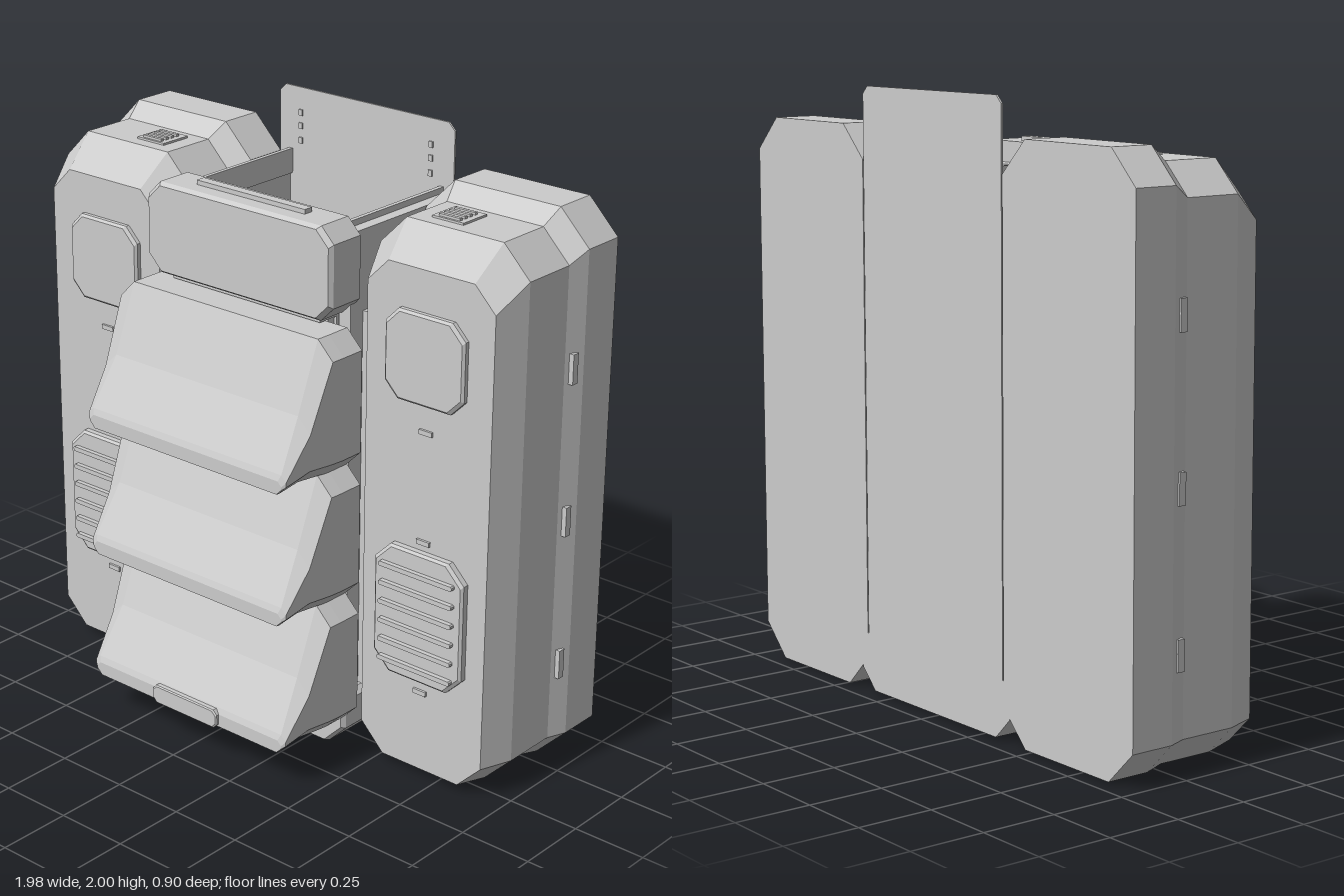
import * as THREE from 'three';

const grey = new THREE.MeshStandardMaterial({ color: 0xcccccc });
grey.name = 'lightGrey';

// Solid through chamfered rectangles stacked along z.
// Each section: [z, x0, x1, y0, y1, topChamfer, bottomChamfer]
function loft(name, sections) {
  const rings = sections.map(([z, x0, x1, y0, y1, t, b]) => [
    [x0 + b, y0, z], [x1 - b, y0, z], [x1, y0 + b, z], [x1, y1 - t, z],
    [x1 - t, y1, z], [x0 + t, y1, z], [x0, y1 - t, z], [x0, y0 + b, z],
  ]);
  const pos = [];
  const tri = (a, b, c) => pos.push(...a, ...b, ...c);
  for (let k = 0; k < rings.length - 1; k++) {
    for (let i = 0; i < 8; i++) {
      const j = (i + 1) % 8, p = rings[k], q = rings[k + 1];
      tri(p[i], p[j], q[j]);
      tri(p[i], q[j], q[i]);
    }
  }
  const back = rings[0], front = rings[rings.length - 1];
  for (let i = 1; i < 7; i++) {
    tri(back[0], back[i + 1], back[i]);
    tri(front[0], front[i], front[i + 1]);
  }
  const geo = new THREE.BufferGeometry();
  geo.setAttribute('position', new THREE.Float32BufferAttribute(pos, 3));
  geo.computeVertexNormals();
  const mesh = new THREE.Mesh(geo, grey);
  mesh.name = name;
  return mesh;
}

// Chamfered plate between two depths
const plate = (name, x0, x1, y0, y1, z0, z1, c, bevel = 0) => loft(name, [
  [z0, x0, x1, y0, y1, c, c],
  [z1 - bevel, x0, x1, y0, y1, c, c],
  [z1, x0 + bevel, x1 - bevel, y0 + bevel, y1 - bevel, c, c],
]);

function box(name, x0, x1, y0, y1, z0, z1) {
  const mesh = new THREE.Mesh(new THREE.BoxGeometry(x1 - x0, y1 - y0, z1 - z0), grey);
  mesh.position.set((x0 + x1) / 2, (y0 + y1) / 2, (z0 + z1) / 2);
  mesh.name = name;
  return mesh;
}

// One side tower; s is +1 for left, -1 for right
function sideTower(s) {
  const g = new THREE.Group();
  g.name = s > 0 ? 'leftTower' : 'rightTower';
  const span = (a, b) => (s > 0 ? [a, b] : [-b, -a]);
  const sec = (z, a, b, y0, y1, t, c) => [z, ...span(a, b), y0, y1, t, c];
  g.add(loft('towerBody', [
    sec(-0.45, 0.37, 0.99, 0.005, 1.875, 0.11, 0.11),
    sec(-0.30, 0.37, 0.99, 0.005, 1.875, 0.11, 0.11),
    sec(-0.235, 0.40, 0.965, 0.015, 1.825, 0.10, 0.10),
    sec(-0.04, 0.40, 0.965, 0.015, 1.825, 0.10, 0.10),
    sec(0.07, 0.44, 0.926, 0.025, 1.72, 0.08, 0.09),
  ]));
  // Front panels
  g.add(plate('upperPanel', ...span(0.525, 0.83), 1.29, 1.585, 0.06, 0.092, 0.05, 0.008));
  g.add(plate('ventPanel', ...span(0.505, 0.855), 0.35, 0.80, 0.06, 0.098, 0.06, 0.008));
  for (let i = 0; i < 6; i++) {
    const y = 0.40 + i * 0.066;
    g.add(plate('ventSlat', ...span(0.535, 0.825), y - 0.008, y + 0.008, 0.09, 0.114, 0.004));
  }
  for (const y of [0.305, 0.83, 1.2]) {
    g.add(box('frontMark', ...span(0.655, 0.705), y - 0.008, y + 0.008, 0.06, 0.078));
  }
  // Side clips
  for (const y of [0.38, 0.88, 1.39]) {
    g.add(box('sideClip', ...span(0.95, 0.987), y - 0.05, y + 0.05, -0.275, -0.25));
  }
  // Stepped caps with ridges on top and bottom
  g.add(box('topCap', ...span(0.56, 0.68), 1.81, 1.832, -0.2, -0.085));
  g.add(box('bottomCap', ...span(0.56, 0.68), 0.008, 0.03, -0.2, -0.085));
  for (let i = 0; i < 4; i++) {
    const z = -0.18 + i * 0.025;
    g.add(box('capRidge', ...span(0.58, 0.66), 1.83, 1.84, z, z + 0.012));
    g.add(box('bottomRidge', ...span(0.58, 0.66), 0, 0.01, z, z + 0.012));
  }
  return g;
}

// Sloping bin front, y0 is its base
function hopper(y0) {
  const sec = (z, w, lo, hi, t, b) => [z, -w, w, y0 + lo, y0 + hi, t, b];
  return loft('hopper', [
    sec(0.105, 0.45, 0, 0.46, 0.06, 0.06),
    sec(0.19, 0.45, 0, 0.46, 0.06, 0.06),
    sec(0.24, 0.448, 0.012, 0.46, 0.06, 0.05),
    sec(0.33, 0.437, 0.016, 0.235, 0.05, 0.05),
    sec(0.425, 0.423, 0.01, 0.075, 0.02, 0.03),
    sec(0.433, 0.41, 0.01, 0.055, 0.015, 0.02),
  ]);
}

export function createModel() {
  const model = new THREE.Group();
  model.name = 'storageUnit';
  model.add(sideTower(1), sideTower(-1));

  // Central open-topped bin
  const bin = new THREE.Group();
  bin.name = 'centralBin';
  bin.add(plate('backPlate', -0.365, 0.365, 0.1, 2, -0.45, -0.443, 0.025));
  bin.add(box('binFloor', -0.34, 0.34, 0.1, 0.9, -0.443, 0.02));
  bin.add(box('frontWall', -0.31, 0.31, 0.1, 1.74, -0.015, 0.06));
  for (const s of [1, -1]) {
    const span = (a, b) => (s > 0 ? [a, b] : [-b, -a]);
    bin.add(box('sideWall', ...span(0.32, 0.365), 0.1, 1.765, -0.443, 0.06));
    bin.add(box('sideFiller', ...span(0.36, 0.42), 0.1, 1.5, -0.2, 0));
    bin.add(box('topRail', ...span(0.31, 0.325), 1.7, 1.785, -0.443, 0.05));
    for (const y of [1.82, 1.87, 1.915]) {
      bin.add(box('plateTick', ...span(0.265, 0.28), y - 0.01, y + 0.01, -0.444, -0.437));
    }
  }
  bin.add(box('frontBacking', -0.3, 0.3, 0.95, 1.58, 0.05, 0.09));
  model.add(bin);

  // Base block
  model.add(loft('base', [
    [-0.45, -0.40, 0.40, 0.01, 0.2, 0.02, 0.07],
    [0.1, -0.40, 0.40, 0.01, 0.2, 0.02, 0.07],
    [0.115, -0.39, 0.39, 0.015, 0.19, 0.02, 0.07],
  ]));

  // Three stacked hoppers and the bottom handle
  for (let i = 0; i < 3; i++) model.add(hopper(0.12 + i * 0.45));
  model.add(plate('handle', -0.142, 0.142, 0.125, 0.19, 0.4, 0.446, 0.015, 0.004));

  // Header box above the hoppers
  model.add(loft('header', [
    [0.04, -0.385, 0.385, 1.505, 1.81, 0.05, 0.05],
    [0.165, -0.385, 0.385, 1.505, 1.81, 0.05, 0.05],
    [0.18, -0.375, 0.375, 1.515, 1.80, 0.05, 0.05],
  ]));
  model.add(box('headerStrip', -0.225, 0.225, 1.8, 1.825, 0.082, 0.115));
  model.add(box('headerLip', -0.31, 0.31, 1.485, 1.51, 0.06, 0.14));
  return model;
}
